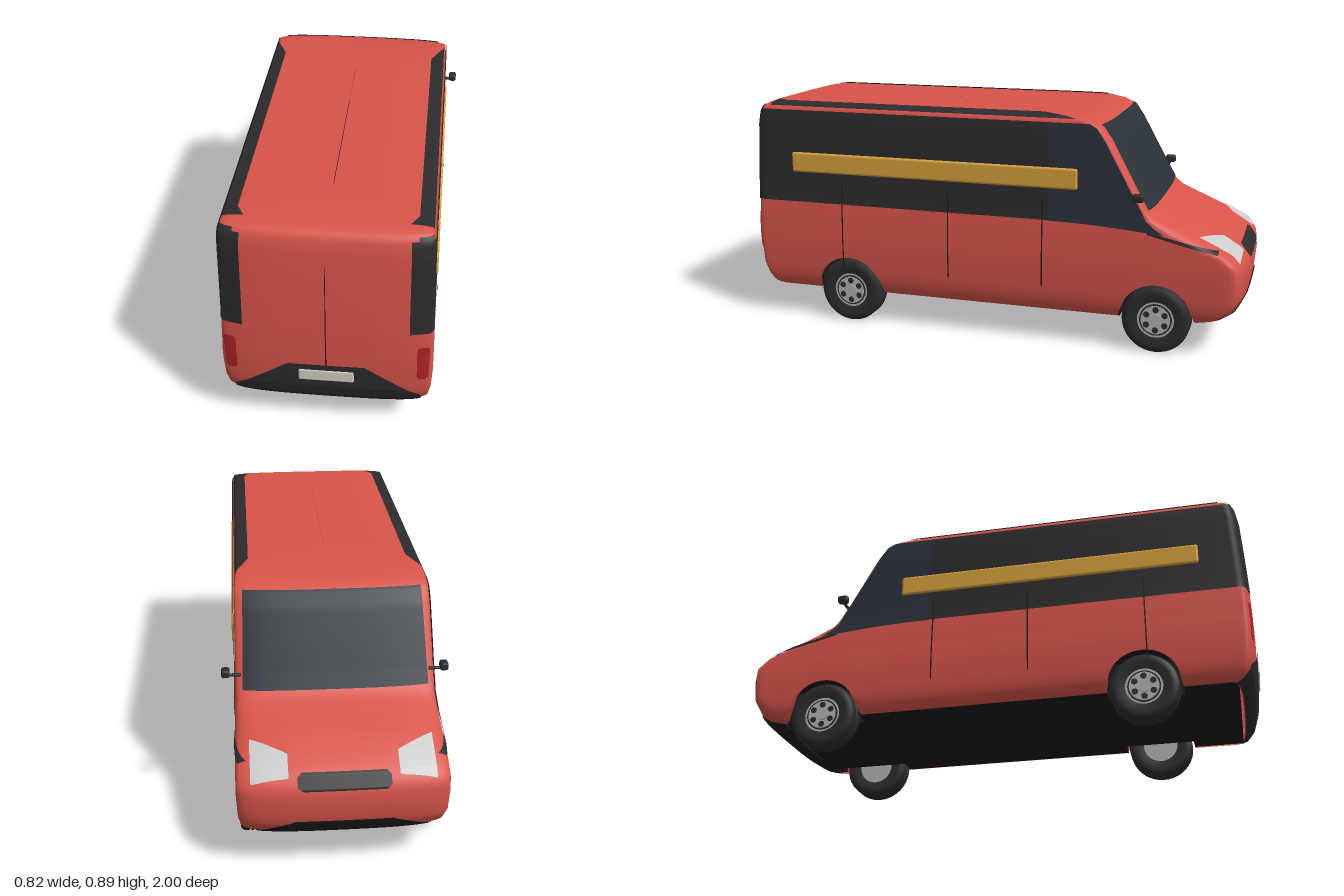
import * as THREE from 'three';
import { RoundedBoxGeometry } from 'three/addons/geometries/RoundedBoxGeometry.js';

const mat = (color) => new THREE.MeshStandardMaterial({ color, side: THREE.DoubleSide });
const RED = mat(0xd8544a), DARK = mat(0x2c2c2e), GLASS = mat(0x2a323a), BLACK = mat(0x1c1c1c);
const STRIPE = mat(0xd8a23c), WHITE = mat(0xe8e8ea), TAIL = mat(0xb02428), PLATE = mat(0xd2cec0), GREY = mat(0xb4b4b4);

// Body levels: height, nose z, nose corner depth, tail z, half width
const LEVELS = [
  [0.125, -0.86, 0.06, 0.93, 0.33], [0.14, -0.92, 0.07, 0.955, 0.345], [0.17, -0.965, 0.07, 0.975, 0.358],
  [0.22, -0.99, 0.06, 0.99, 0.366], [0.3, -0.997, 0.06, 0.995, 0.37], [0.35, -0.992, 0.06, 0.997, 0.37],
  [0.39, -0.962, 0.08, 0.997, 0.368], [0.43, -0.9, 0.14, 0.997, 0.367], [0.47, -0.82, 0.17, 0.997, 0.365],
  [0.51, -0.7, 0.09, 0.996, 0.362], [0.54, -0.645, 0.04, 0.995, 0.361], [0.6, -0.61, 0.04, 0.993, 0.36],
  [0.8, -0.5, 0.04, 0.983, 0.358], [0.85, -0.465, 0.04, 0.975, 0.356], [0.87, -0.43, 0.05, 0.965, 0.352],
  [0.882, -0.37, 0.05, 0.95, 0.342], [0.889, -0.27, 0.05, 0.92, 0.3], [0.893, -0.1, 0.05, 0.7, 0.001],
];
const P = 3, TAIL_D = 0.04, WHEEL_Z = [0.58, -0.67];
const lerp = THREE.MathUtils.lerp, clamp = THREE.MathUtils.clamp;

function level(y) {
  let i = 0;
  while (i < LEVELS.length - 2 && y > LEVELS[i + 1][0]) i++;
  const a = LEVELS[i], b = LEVELS[i + 1], t = clamp((y - a[0]) / (b[0] - a[0]), 0, 1);
  const [, zF, d, zR, w] = a.map((v, k) => lerp(v, b[k], t));
  return { zF, d, zR, w };
}

// Points on the skin, seen from the nose, the tail and the side
const bow = (s) => 1 - Math.pow(Math.max(0, 1 - Math.pow(Math.min(1, Math.abs(s)), P)), 1 / P);
const nose = (x, y) => { const l = level(y); return [x, y, l.zF + l.d * bow(x / l.w)]; };
const tail = (x, y) => { const l = level(y); return [x, y, l.zR - TAIL_D * bow(x / l.w)]; };
function side(y, z, sx) {
  const l = level(y);
  const t = clamp(Math.min((z - l.zF) / l.d, (l.zR - z) / TAIL_D), 0, 1);
  return [sx * l.w * Math.pow(1 - Math.pow(1 - t, P), 1 / P), y, z];
}
function hood(x, z) {
  let lo = 0.32, hi = 0.54;
  for (let i = 0; i < 24; i++) {
    const m = (lo + hi) / 2;
    if (nose(x, m)[2] < z) lo = m; else hi = m;
  }
  return [x, lo, z];
}

// Grid surface lifted slightly off the skin, always facing outwards
function patch(group, name, material, f, nu, nv, lift = 0.004) {
  const pos = [], idx = [];
  for (let j = 0; j <= nv; j++) for (let i = 0; i <= nu; i++) pos.push(...f(i / nu, j / nv));
  for (let j = 0; j < nv; j++) for (let i = 0; i < nu; i++) {
    const a = j * (nu + 1) + i, c = a + nu + 1;
    idx.push(a, a + 1, c, a + 1, c + 1, c);
  }
  const g = new THREE.BufferGeometry();
  g.setAttribute('position', new THREE.Float32BufferAttribute(pos, 3));
  g.setIndex(idx);
  g.computeVertexNormals();
  const p = g.attributes.position, n = g.attributes.normal;
  let facing = 0;
  for (let i = 0; i < p.count; i++) facing += n.getX(i) * p.getX(i) + n.getY(i) * (p.getY(i) - 0.45) + n.getZ(i) * p.getZ(i);
  if (facing < 0) { g.setIndex(idx.reverse()); g.computeVertexNormals(); }
  for (let i = 0; i < p.count; i++)
    p.setXYZ(i, p.getX(i) + n.getX(i) * lift, p.getY(i) + n.getY(i) * lift, p.getZ(i) + n.getZ(i) * lift);
  return add(group, name, g, material);
}
// Panel described by rows of [y, x0, x1] on the nose or tail
function rows(group, name, material, on, list, sx = 1, nu = 16) {
  const y0 = list[0][0], y1 = list[list.length - 1][0];
  return patch(group, name, material, (u, v) => {
    const y = lerp(y0, y1, v);
    let i = 0;
    while (i < list.length - 2 && y > list[i + 1][0]) i++;
    const a = list[i], b = list[i + 1], t = (y - a[0]) / (b[0] - a[0]);
    return on(sx * lerp(lerp(a[1], b[1], t), lerp(a[2], b[2], t), u), y);
  }, nu, 32);
}
function add(group, name, geometry, material, x = 0, y = 0, z = 0) {
  const m = new THREE.Mesh(geometry, material);
  m.name = name;
  m.position.set(x, y, z);
  group.add(m);
  return m;
}

// Painted shell: stacked rounded outlines, raised over the wheels
function shell() {
  const ys = [], pos = [], idx = [], N = 120, E = 28;
  LEVELS.forEach((l, i) => { if (i) ys.push((l[0] + LEVELS[i - 1][0]) / 2); ys.push(l[0]); });
  const ringSize = 2 * (N + E);
  for (const y of ys) {
    const { zF, d, zR, w } = level(y);
    const zs = zF + d, ze = zR - TAIL_D;
    const put = (x, z) => {
      let yy = y;
      for (const c of WHEEL_Z) {
        const h = 0.14 ** 2 - (z - c) ** 2;
        if (Math.abs(x) > w * 0.999 && h > 0) yy = Math.max(yy, 0.13 + Math.sqrt(h));
      }
      pos.push(yy > y ? Math.sign(x) * level(yy).w : x, yy, z);
    };
    const end = (a, z, depth) => {
      const s = Math.sin(a), c = Math.max(0, Math.cos(a));
      put(w * Math.sign(s) * Math.pow(Math.abs(s), 2 / P), z + depth * (1 - Math.pow(c, 2 / P)));
    };
    for (let i = 0; i < N; i++) put(w, lerp(ze, zs, i / N));
    for (let i = 0; i < E; i++) end(Math.PI * (0.5 - i / E), zF, d);
    for (let i = 0; i < N; i++) put(-w, lerp(zs, ze, i / N));
    for (let i = 0; i < E; i++) end(Math.PI * (i / E - 0.5), zR, -TAIL_D);
  }
  for (let j = 0; j < ys.length - 1; j++) for (let i = 0; i < ringSize; i++) {
    const a = j * ringSize + i, b = j * ringSize + (i + 1) % ringSize;
    idx.push(a, b, a + ringSize, b, b + ringSize, a + ringSize);
  }
  const g = new THREE.BufferGeometry();
  g.setAttribute('position', new THREE.Float32BufferAttribute(pos, 3));
  g.setIndex(idx);
  g.computeVertexNormals();
  return g;
}

// Wheel along x with its outer face towards +x
function wheel() {
  const w = new THREE.Group();
  const profile = [[0.07, -0.038], [0.1, -0.045], [0.12, -0.042], [0.13, -0.03], [0.13, -0.012], [0.124, -0.01], [0.124, -0.006],
    [0.13, -0.004], [0.13, 0.004], [0.124, 0.006], [0.124, 0.01], [0.13, 0.012], [0.13, 0.03], [0.12, 0.042], [0.1, 0.045], [0.07, 0.038]];
  const disc = (name, r, len, m, x, y = 0, z = 0, n = 32) => {
    add(w, name, new THREE.CylinderGeometry(r, r, len, n), m, x, y, z).rotation.z = Math.PI / 2;
  };
  add(w, 'tyre', new THREE.LatheGeometry(profile.map((p) => new THREE.Vector2(...p)), 40), DARK).rotation.z = -Math.PI / 2;
  disc('rim', 0.071, 0.07, GREY, 0);
  disc('rimFace', 0.062, 0.004, DARK, 0.036);
  disc('rimPlate', 0.056, 0.004, GREY, 0.038);
  disc('hub', 0.024, 0.01, GREY, 0.04);
  for (let i = 0; i < 6; i++) {
    const a = (i * Math.PI) / 3;
    disc('rimHole', 0.012, 0.004, DARK, 0.0395, 0.04 * Math.cos(a), 0.04 * Math.sin(a), 12);
  }
  return w;
}

export function createModel() {
  const van = new THREE.Group();
  van.name = 'van';
  add(van, 'bodyShell', shell(), RED);

  // Underside and wheel wells
  for (const [z0, z1, hw] of [[-0.87, -0.81, 0.3], [-0.53, 0.44, 0.33], [0.72, 0.92, 0.32]])
    add(van, 'floor', new THREE.BoxGeometry(hw * 2, 0.17, z1 - z0), BLACK, 0, 0.211, (z0 + z1) / 2);
  add(van, 'chassis', new THREE.BoxGeometry(0.5, 0.15, 1.76), BLACK, 0, 0.2, 0.02);
  add(van, 'wellRoof', new THREE.BoxGeometry(0.7, 0.02, 1.7), BLACK, 0, 0.285, 0.02);

  // Nose and tail panels
  rows(van, 'windscreen', GLASS, nose, [[0.545, -0.335, 0.335], [0.855, -0.325, 0.325]], 1, 32);
  rows(van, 'grille', DARK, nose, [[0.345, -0.14, 0.14], [0.355, -0.16, 0.16], [0.385, -0.16, 0.16], [0.395, -0.145, 0.145]]);
  rows(van, 'frontBumper', BLACK, nose, [[0.126, -0.31, 0.31], [0.17, -0.3, 0.3], [0.225, -0.17, 0.17]], 1, 24);
  rows(van, 'rearBumper', DARK, tail, [[0.126, -0.32, 0.32], [0.14, -0.332, 0.332], [0.19, -0.33, 0.33], [0.33, -0.135, 0.135]], 1, 24);
  rows(van, 'rearDoorSeam', BLACK, tail, [[0.33, -0.002, 0.002], [0.76, -0.001, 0.001]], 1, 1);
  add(van, 'numberPlate', new RoundedBoxGeometry(0.195, 0.05, 0.012, 3, 0.006), PLATE, 0, 0.28, 0.996);

  for (const s of [1, -1]) {
    // Side glazing, roof edge strip and seams
    patch(van, 'sideWindow', DARK, (u, v) => {
      const y = lerp(0.49, 0.862, v);
      return side(y, lerp(level(y).zR - 0.008, -0.25, 1 - (1 - u) ** 1), s);
    }, 80, 24);
    patch(van, 'cabWindow', GLASS, (u, v) => {
      const y = lerp(0.488 - 0.025 * u * u, 0.862, v), l = level(y);
      return side(y, lerp(-0.25, l.zF + l.d * 0.85, u), s);
    }, 24, 24);
    patch(van, 'roofStrip', DARK, (u, v) => {
      const y = lerp(0.875, 0.889, v);
      return side(y, lerp(0.905, level(y).zF + 0.05, u), s);
    }, 24, 8);
    patch(van, 'hoodLine', DARK, (u, v) =>
      side(lerp(0.468, 0.405, u) + (v - 0.5) * 0.012, lerp(-0.63, -0.89, u), s), 30, 2);
    for (const z of [0.6, 0.15, -0.23])
      patch(van, 'doorSeam', BLACK, (u, v) => side(lerp(0.23, 0.57, v), z + (u - 0.5) * 0.005, s), 1, 16, 0.005);
    add(van, 'sideStripe', new RoundedBoxGeometry(0.022, 0.082, 1.18, 4, 0.01), STRIPE, s * 0.359, 0.653, 0.225);

    // Lamps and rear corner strips
    patch(van, 'headlight', WHITE, (u, v) =>
      hood(s * lerp(0.19, 0.318, u), lerp(-0.965, lerp(-0.89, -0.815, u), v)), 14, 14, 0.006);
    rows(van, 'tailLight', TAIL, tail, [[0.28, 0.322, 0.346], [0.29, 0.315, 0.354], [0.42, 0.313, 0.356], [0.43, 0.32, 0.35]], s);
    rows(van, 'rearCornerStrip', DARK, tail, [[0.61, 0.325, 0.33], [0.635, 0.314, 0.346], [0.8, 0.308, 0.354], [0.874, 0.303, 0.348]], s);

    // Door mirror
    add(van, 'mirrorArm', new THREE.CylinderGeometry(0.006, 0.006, 0.06, 10), DARK, s * 0.37, 0.595, -0.6).rotation.z = Math.PI / 2;
    add(van, 'mirror', new RoundedBoxGeometry(0.03, 0.03, 0.042, 3, 0.009), DARK, s * 0.395, 0.605, -0.6);

    for (const z of WHEEL_Z) {
      const w = wheel();
      w.name = z > 0 ? 'rearWheel' : 'frontWheel';
      w.position.set(s * 0.316, 0.13, z);
      if (s < 0) w.rotation.y = Math.PI;
      van.add(w);
    }
  }
  return van;
}
